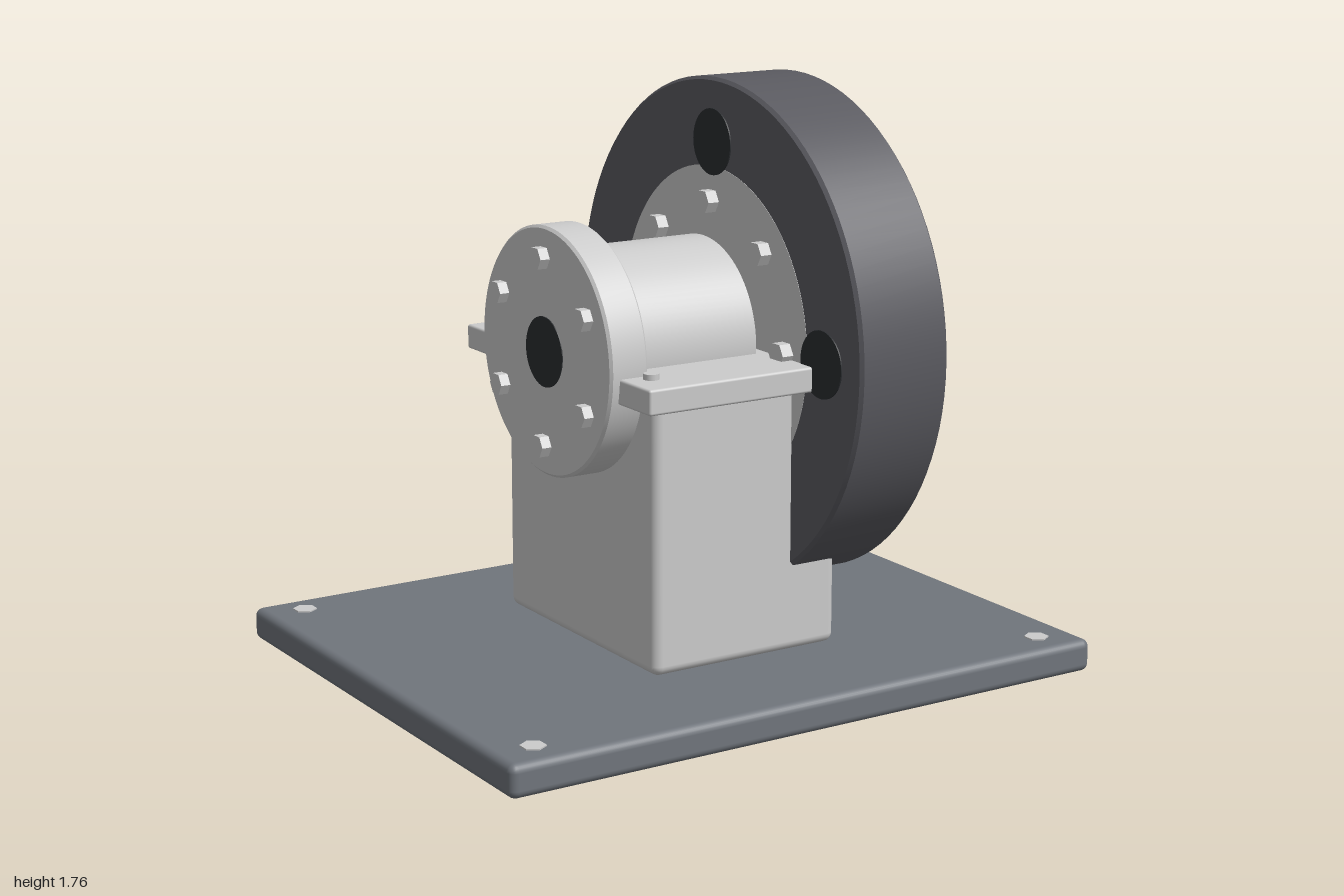
import * as THREE from 'three';
import { toCreasedNormals } from 'three/addons/utils/BufferGeometryUtils.js';
import { RoundedBoxGeometry } from 'three/addons/geometries/RoundedBoxGeometry.js';

const AXIS_Y = 1.0; // height of the shaft axis

export function createModel() {
  const model = new THREE.Group();
  const steel = new THREE.MeshStandardMaterial({ color: 0xcccccc });
  const hexSteel = new THREE.MeshStandardMaterial({ color: 0xcccccc, flatShading: true });
  const slate = new THREE.MeshStandardMaterial({ color: 0x70757c });
  const rubber = new THREE.MeshStandardMaterial({ color: 0x5a5a60 });
  const black = new THREE.MeshStandardMaterial({ color: 0x2a2d30 });

  const add = (name, geometry, material, x = 0, y = 0, z = 0) => {
    const mesh = new THREE.Mesh(geometry, material);
    mesh.name = name;
    mesh.position.set(x, y, z);
    model.add(mesh);
    return mesh;
  };

  // Rounded block given by its limits
  const block = (name, material, x0, x1, y0, y1, halfZ, r) =>
    add(name, new RoundedBoxGeometry(x1 - x0, y1 - y0, halfZ * 2, 3, r), material, (x0 + x1) / 2, (y0 + y1) / 2, 0);

  // Ring or disc turned about the x axis with small chamfers on the rims
  const turned = (name, material, x0, x1, radius, bevel = 0.008, inner = 0) => {
    const profile = [
      [inner, x0], [radius - bevel, x0], [radius, x0 + bevel],
      [radius, x1 - bevel], [radius - bevel, x1], [inner, x1],
    ].map(([r, x]) => new THREE.Vector2(r, x));
    const geometry = toCreasedNormals(new THREE.LatheGeometry(profile, 96).rotateZ(-Math.PI / 2), 0.5);
    return add(name, geometry, material, 0, AXIS_Y, 0);
  };

  // Plain cylinder along x
  const rod = (name, material, x0, x1, radius, y = AXIS_Y, z = 0, sides = 48) =>
    add(name, new THREE.CylinderGeometry(radius, radius, x1 - x0, sides).rotateZ(-Math.PI / 2), material, (x0 + x1) / 2, y, z);

  // Repeat a part around the shaft axis, starting at the top
  const around = (count, radius, make) => {
    for (let i = 0; i < count; i++) {
      const a = (i / count) * Math.PI * 2;
      make(AXIS_Y + Math.cos(a) * radius, Math.sin(a) * radius);
    }
  };

  // Base, pedestal and bearing plate
  block('basePlate', slate, -1, 1, 0, 0.1, 0.82, 0.025);
  block('pedestal', steel, -0.305, 0.335, 0.1, 0.915, 0.425, 0.03);
  block('bearingPlate', steel, -0.385, 0.415, 0.91, 0.985, 0.53, 0.008);

  // Base bolts and plate screws
  for (const sx of [-1, 1]) for (const sz of [-1, 1]) {
    add('baseBolt', new THREE.CylinderGeometry(0.037, 0.037, 0.02, 6), hexSteel, sx * 0.873, 0.094, sz * 0.715);
    add('plateScrew', new THREE.CylinderGeometry(0.023, 0.023, 0.03, 16), steel, 0.015 + sx * 0.32, 0.987, sz * 0.41);
  }

  // Hub housing and end flange
  turned('endFlange', steel, -0.415, -0.29, 0.372);
  rod('hubBarrel', steel, -0.3, 0.13, 0.295, AXIS_Y, 0, 96);
  rod('shaft', steel, 0.12, 0.2, 0.19);
  rod('shaftBore', black, -0.418, -0.4, 0.105);
  around(6, 0.28, (y, z) => rod('flangeBolt', hexSteel, -0.446, -0.41, 0.035, y, z, 6));

  // Wheel: tyre ring, centre disc, dark ports and inner bolts
  turned('wheelRim', rubber, 0.168, 0.475, 0.765, 0.01, 0.49);
  rod('wheelDisc', steel, 0.167, 0.476, 0.5, AXIS_Y, 0, 96);
  around(4, 0.572, (y, z) => rod('wheelPort', black, 0.164, 0.479, 0.1, y, z));
  around(8, 0.395, (y, z) => rod('wheelBolt', hexSteel, 0.13, 0.175, 0.037, y, z, 6));

  return model;
}
